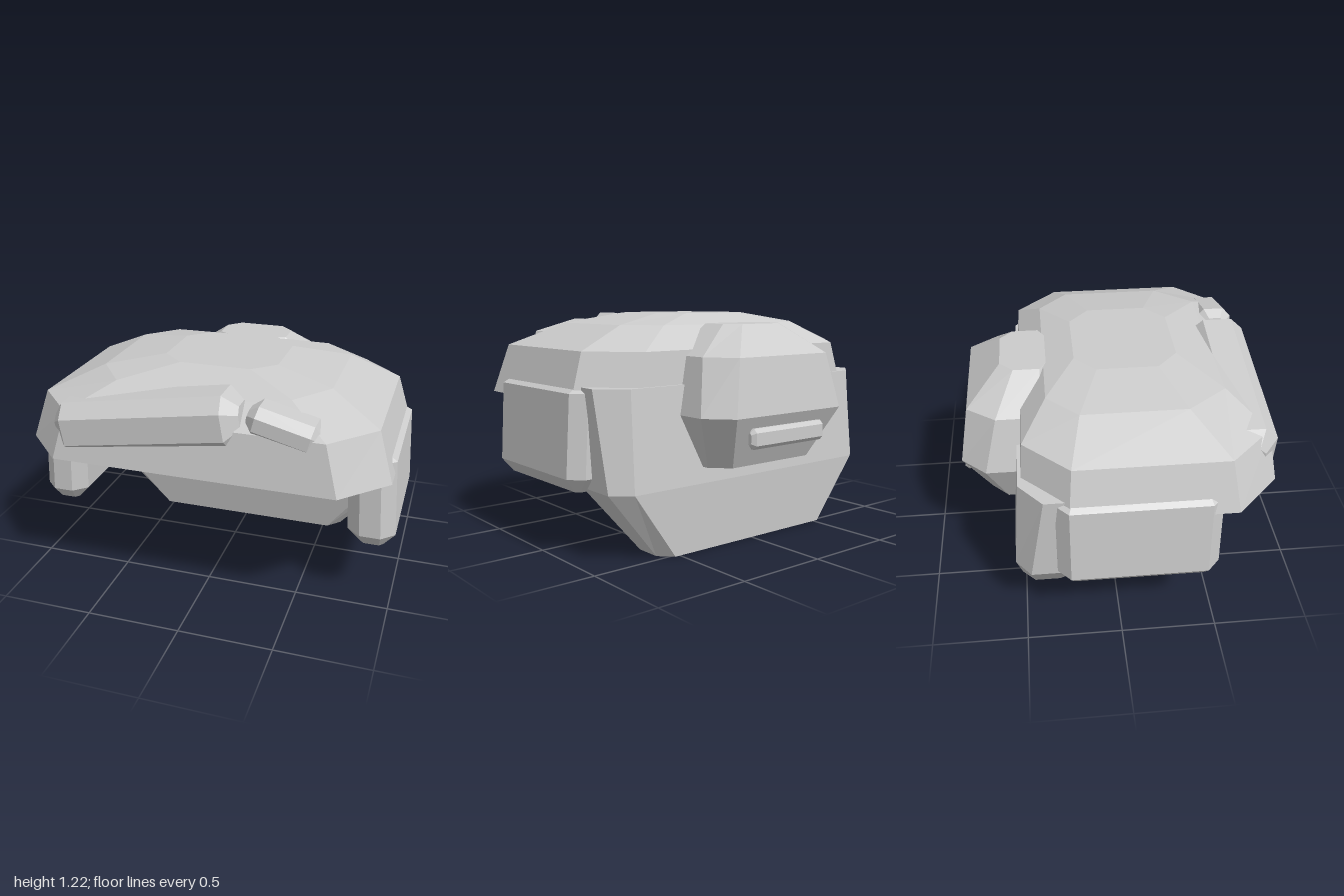
import * as THREE from 'three';

const material = new THREE.MeshStandardMaterial({
  color: 0xcccccc, flatShading: true, side: THREE.DoubleSide,
});

// Corners of a box outline with cut corners; front and back cuts may differ in depth.
function outline([y, x0, x1, z0, z1, cx, czFront, czBack = czFront]) {
  return [
    [x1 - cx, z1], [x1, z1 - czFront], [x1, z0 + czBack], [x1 - cx, z0],
    [x0 + cx, z0], [x0, z0 + czBack], [x0, z1 - czFront], [x0 + cx, z1],
  ].map(([x, z]) => [x, y, z]);
}

// Closed faceted solid through a stack of outlines, from low y to high y.
function loft(name, sections) {
  const rings = sections.map(outline);
  const n = 8, pos = [];
  const tri = (a, b, c) => pos.push(...a, ...b, ...c);
  for (let r = 0; r < rings.length - 1; r++) {
    const a = rings[r], b = rings[r + 1];
    for (let i = 0; i < n; i++) {
      const j = (i + 1) % n;
      tri(a[i], a[j], b[j]);
      tri(a[i], b[j], b[i]);
    }
  }
  const low = rings[0], high = rings[rings.length - 1];
  for (let i = 1; i < n - 1; i++) {
    tri(low[0], low[i + 1], low[i]);
    tri(high[0], high[i], high[i + 1]);
  }
  const geometry = new THREE.BufferGeometry();
  geometry.setAttribute('position', new THREE.Float32BufferAttribute(pos, 3));
  geometry.computeVertexNormals();
  const mesh = new THREE.Mesh(geometry, material);
  mesh.name = name;
  return mesh;
}

// Bevelled bar lying along x.
function bar(name, length, height, depth, bevel) {
  const h = height / 2, d = depth / 2, l = length / 2;
  const mesh = loft(name, [
    [-l, -h + bevel, h - bevel, -d + bevel, d - bevel, bevel / 2, bevel / 2],
    [-l + bevel, -h, h, -d, d, bevel, bevel],
    [l - bevel, -h, h, -d, d, bevel, bevel],
    [l, -h + bevel, h - bevel, -d + bevel, d - bevel, bevel / 2, bevel / 2],
  ]);
  mesh.geometry.rotateZ(-Math.PI / 2);
  return mesh;
}

export function createModel() {
  const group = new THREE.Group();
  group.name = 'hair';

  // Domed cap
  group.add(loft('cap', [
    [0.78, -0.97, 0.97, -0.49, 0.80, 0.23, 0.23],
    [1.04, -0.89, 0.89, -0.47, 0.76, 0.22, 0.23],
    [1.16, -0.62, 0.62, -0.34, 0.57, 0.16, 0.21, 0.16],
    [1.215, -0.31, 0.31, -0.18, 0.36, 0.12, 0.11],
  ]));

  // Long tapering hair at the back
  group.add(loft('backHair', [
    [0, -0.60, 0.60, -0.52, -0.24, 0.07, 0.07],
    [0.36, -0.89, 0.89, -0.54, -0.16, 0.10, 0.07, 0.08],
    [0.87, -0.92, 0.92, -0.50, 0.0, 0.14, 0.28, 0.12],
  ]));

  // Hanging side panels
  for (const side of [1, -1]) {
    const x = (a, b) => (side > 0 ? [a, b] : [-b, -a]);
    group.add(loft(side > 0 ? 'leftSidePanel' : 'rightSidePanel', [
      [0.345, ...x(0.82, 0.94), -0.26, 0.44, 0.02, 0.02],
      [0.42, ...x(0.75, 1.0), -0.325, 0.50, 0.07, 0.065],
      [0.84, ...x(0.73, 0.975), -0.325, 0.50, 0.07, 0.065],
      [0.875, ...x(0.80, 0.92), -0.26, 0.44, 0.02, 0.02],
    ]));
  }

  // Gathered bun behind the cap
  group.add(loft('bun', [
    [0.445, -0.36, 0.36, -0.66, -0.36, 0.09, 0.05, 0.09],
    [0.72, -0.49, 0.49, -0.80, -0.32, 0.12, 0.05, 0.13],
    [1.01, -0.42, 0.42, -0.75, -0.32, 0.11, 0.05, 0.15],
    [1.165, -0.20, 0.20, -0.57, -0.32, 0.07, 0.04, 0.07],
  ]));

  // Thin pin on the lower face of the bun
  const pin = bar('hairPin', 0.52, 0.105, 0.06, 0.02);
  pin.position.set(0, 0.607, -0.772);
  group.add(pin);

  // Swept front locks
  const long = bar('longFrontLock', 1.0, 0.28, 0.3, 0.07);
  long.position.set(-0.25, 1.0, 0.65);
  long.rotation.z = 0.16;
  group.add(long);

  const short = bar('shortFrontLock', 0.37, 0.16, 0.2, 0.045);
  short.position.set(0.455, 1.06, 0.67);
  short.rotation.z = -0.25;
  group.add(short);

  return group;
}
